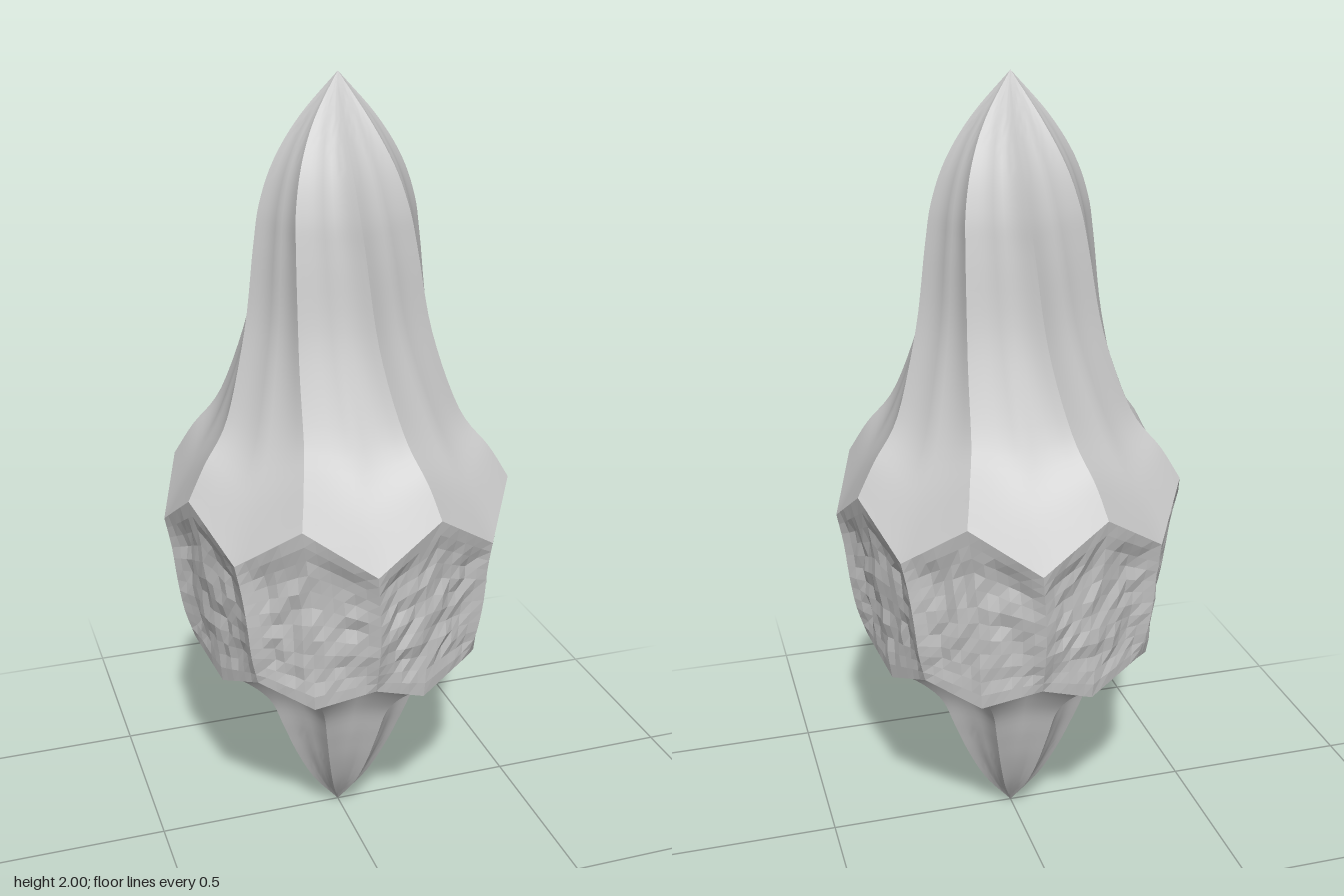
import * as THREE from 'three';
import { toCreasedNormals } from 'three/addons/utils/BufferGeometryUtils.js';

const SIDES = 8;
const HALF = 6; // columns between a panel corner line and a panel centre line

// Control lines as [angle in degrees, radius, height], listed upwards.
// "valley" follows the panel corners, "ridge" follows the panel centres.
const STEM = {
  ridge: [[18, 0, 0], [18, 0.08, 0.1], [18, 0.135, 0.2], [18, 0.178, 0.3], [18, 0.222, 0.4], [18, 0.305, 0.485], [18, 0.365, 0.51]],
  valley: [[-4, 0, 0], [-4, 0.066, 0.1], [-4, 0.115, 0.2], [-4, 0.15, 0.3], [-4, 0.185, 0.41], [-4, 0.26, 0.525], [-4, 0.385, 0.57]],
};
const BAND = {
  ridge: [[18, 0.365, 0.51], [18, 0.395, 0.63], [18, 0.41, 0.76], [17, 0.425, 0.9], [16, 0.435, 1.02]],
  valley: [[-4, 0.385, 0.57], [-4, 0.41, 0.65], [-4, 0.425, 0.74], [-5, 0.435, 0.83], [-6, 0.45, 0.91]],
};
const SPIRE = {
  ridge: [[16, 0.435, 1.02], [15, 0.385, 1.1], [12, 0.31, 1.2], [5, 0.245, 1.4], [0, 0.212, 1.6],
    [-3, 0.193, 1.7], [-6, 0.155, 1.8], [-10, 0.09, 1.9], [-13, 0, 2]],
  valley: [[-6, 0.45, 0.91], [-7, 0.385, 1.03], [-10, 0.298, 1.18], [-17, 0.222, 1.4], [-22, 0.19, 1.6],
    [-25, 0.172, 1.7], [-28, 0.138, 1.8], [-32, 0.08, 1.9], [-35, 0, 2]],
};

const line = (pts) => new THREE.CatmullRomCurve3(pts.map((p) => new THREE.Vector3(...p)), false, 'catmullrom', 0.5);

function polar(p, sector) {
  const a = THREE.MathUtils.degToRad(p.x + (sector * 360) / SIDES);
  return new THREE.Vector3(p.y * Math.sin(a), p.z, p.y * Math.cos(a));
}

// Repeatable small noise in -0.5..0.5
function noise(i, j) {
  const s = Math.sin(i * 12.9898 + j * 78.233) * 43758.5453;
  return s - Math.floor(s) - 0.5;
}

// Skin around all sectors, straight between neighbouring valleys and ridges.
// inset(t, v, column, row) is the depth pressed inward; t: 0 valley to 1 ridge.
function loft({ ridge, valley }, rows, inset) {
  const ridgeLine = line(ridge), valleyLine = line(valley);
  const cols = SIDES * HALF * 2;
  const positions = [], index = [];
  for (let j = 0; j <= rows; j++) {
    const v = j / rows;
    const r = ridgeLine.getPoint(v), w = valleyLine.getPoint(v);
    for (let i = 0; i < cols; i++) {
      const sector = Math.floor(i / (HALF * 2));
      const s = (i % (HALF * 2)) / HALF;
      const t = s <= 1 ? s : 2 - s;
      const p = polar(w, s <= 1 ? sector : sector + 1).lerp(polar(r, sector), t);
      const radius = Math.hypot(p.x, p.z);
      const k = radius > 0.001 ? 1 - inset(t, v, i, j) / radius : 1;
      positions.push(p.x * k, p.y, p.z * k);
      if (j < rows) {
        const a = j * cols + i, b = j * cols + ((i + 1) % cols);
        index.push(a, b, b + cols, a, b + cols, a + cols);
      }
    }
  }
  const g = new THREE.BufferGeometry();
  g.setAttribute('position', new THREE.Float32BufferAttribute(positions, 3));
  g.setIndex(index);
  return g;
}

export function createModel() {
  const group = new THREE.Group();
  group.name = 'crystalSpire';
  const smooth = new THREE.MeshStandardMaterial({ color: 0xcccccc });
  const faceted = new THREE.MeshStandardMaterial({ color: 0xcccccc, flatShading: true });
  const add = (name, geometry, material) => {
    const mesh = new THREE.Mesh(geometry, material);
    mesh.name = name;
    group.add(mesh);
  };

  // Gently hollow faces between the ribs
  const hollow = (depth) => (t, v) => depth * Math.sin(Math.PI * t) * Math.sin(Math.PI * v);
  add('lowerStem', toCreasedNormals(loft(STEM, 28, hollow(0.006)), 0.4), smooth);

  // Eight six-sided panels with raised rims and rough dished centres
  const dish = (t, v, i, j) => {
    const rim = Math.min(t * 0.8, v, 1 - v);
    const inside = THREE.MathUtils.smoothstep(rim, 0, 0.25);
    return inside * (0.018 + 0.012 * noise(i, j));
  };
  add('panelBand', loft(BAND, 12, dish), faceted);

  // Twisted upper spire, its ribs rising from the panel peaks
  add('upperSpire', toCreasedNormals(loft(SPIRE, 40, hollow(0.006)), 0.4), smooth);
  return group;
}
